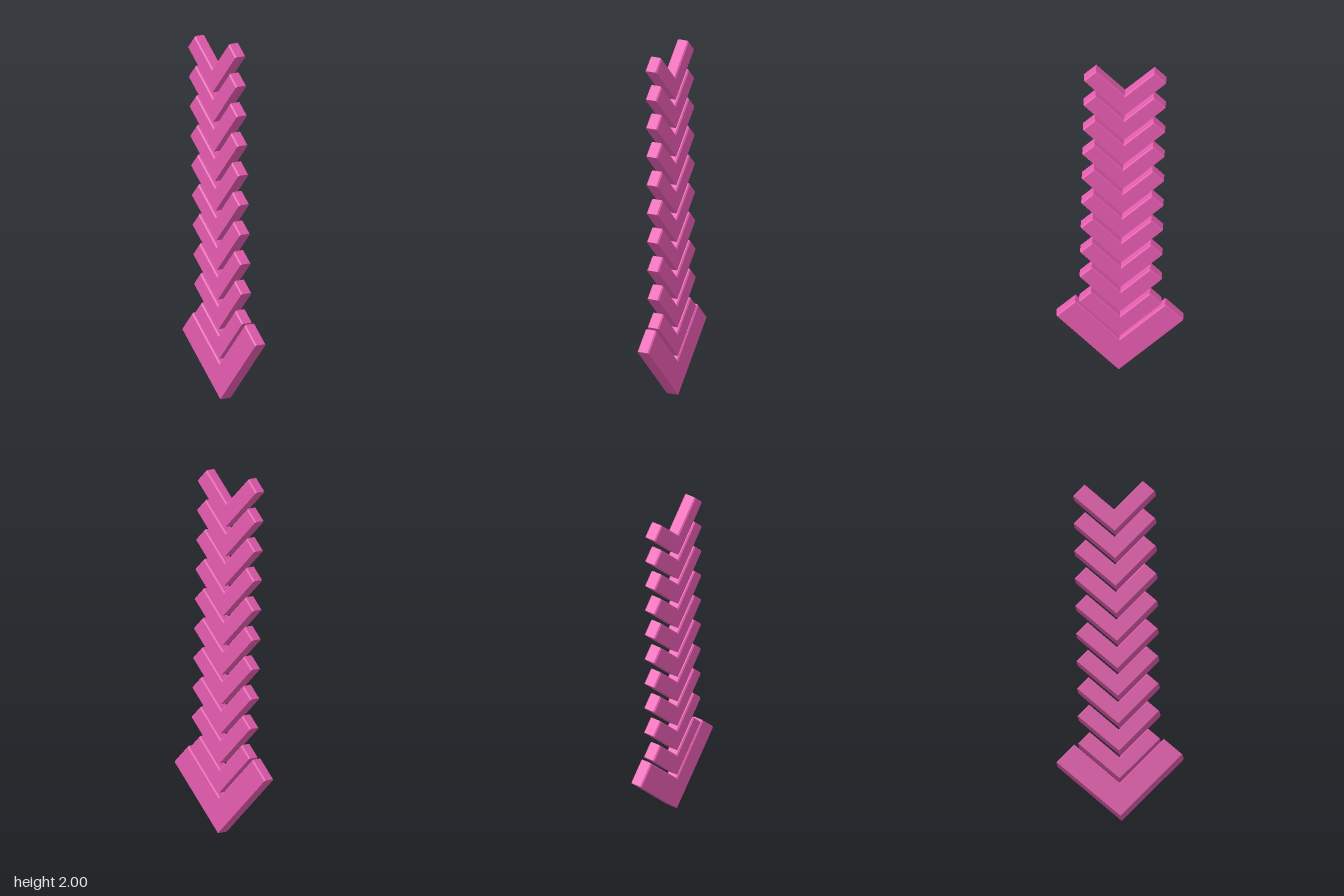
import * as THREE from 'three';

const HALF = 0.035;   // half thickness of every chevron
const BEVEL = 0.007;  // chamfer along the upper edges

// V outline from its lower tip: arms of length l and width w at 45 degrees
function outline(l, w) {
  return [[0, 0], [l, 0], [l, w], [w, w], [w, l], [0, l]]
    .map(([a, b]) => [(a - b) * Math.SQRT1_2, (a + b) * Math.SQRT1_2]);
}

// Slab from four rings; the outer rings are trimmed on the ends and inner V only
function chevronGeometry(l, w) {
  const rings = [[-HALF, BEVEL], [-HALF + BEVEL, 0], [HALF - BEVEL, 0], [HALF, BEVEL]]
    .map(([z, inset]) => outline(l - inset, w - inset).map(([x, y]) => [x, y, z]));
  const positions = [];
  const quad = (a, b, c, d) => positions.push(...a, ...b, ...c, ...a, ...c, ...d);
  // side walls and chamfers
  for (let r = 0; r < 3; r++) {
    for (let i = 0; i < 6; i++) {
      const j = (i + 1) % 6;
      quad(rings[r][i], rings[r][j], rings[r + 1][j], rings[r + 1][i]);
    }
  }
  // front and back faces, one quad per arm
  const back = rings[0], front = rings[3];
  quad(front[0], front[1], front[2], front[3]);
  quad(front[0], front[3], front[4], front[5]);
  quad(back[3], back[2], back[1], back[0]);
  quad(back[5], back[4], back[3], back[0]);
  const geometry = new THREE.BufferGeometry();
  geometry.setAttribute('position', new THREE.Float32BufferAttribute(positions, 3));
  geometry.computeVertexNormals();
  return geometry;
}

export function createModel() {
  const model = new THREE.Group();
  model.name = 'chevronArrow';
  const pink = new THREE.MeshStandardMaterial({ color: 0xe65cb0, flatShading: true });

  // large arrowhead at the bottom
  const head = new THREE.Mesh(chevronGeometry(0.49, 0.142), pink);
  head.name = 'arrowhead';
  model.add(head);

  // ten small chevrons stacked above it
  const small = chevronGeometry(0.318, 0.092);
  for (let i = 0; i < 10; i++) {
    const chevron = new THREE.Mesh(small, pink);
    chevron.name = `chevron${i + 1}`;
    chevron.position.y = 0.225 + i * 0.1645;
    model.add(chevron);
  }

  // slight lean of the whole stack
  model.rotation.set(0.018, 0.008, 0.017);
  model.position.z = -0.02;
  return model;
}
